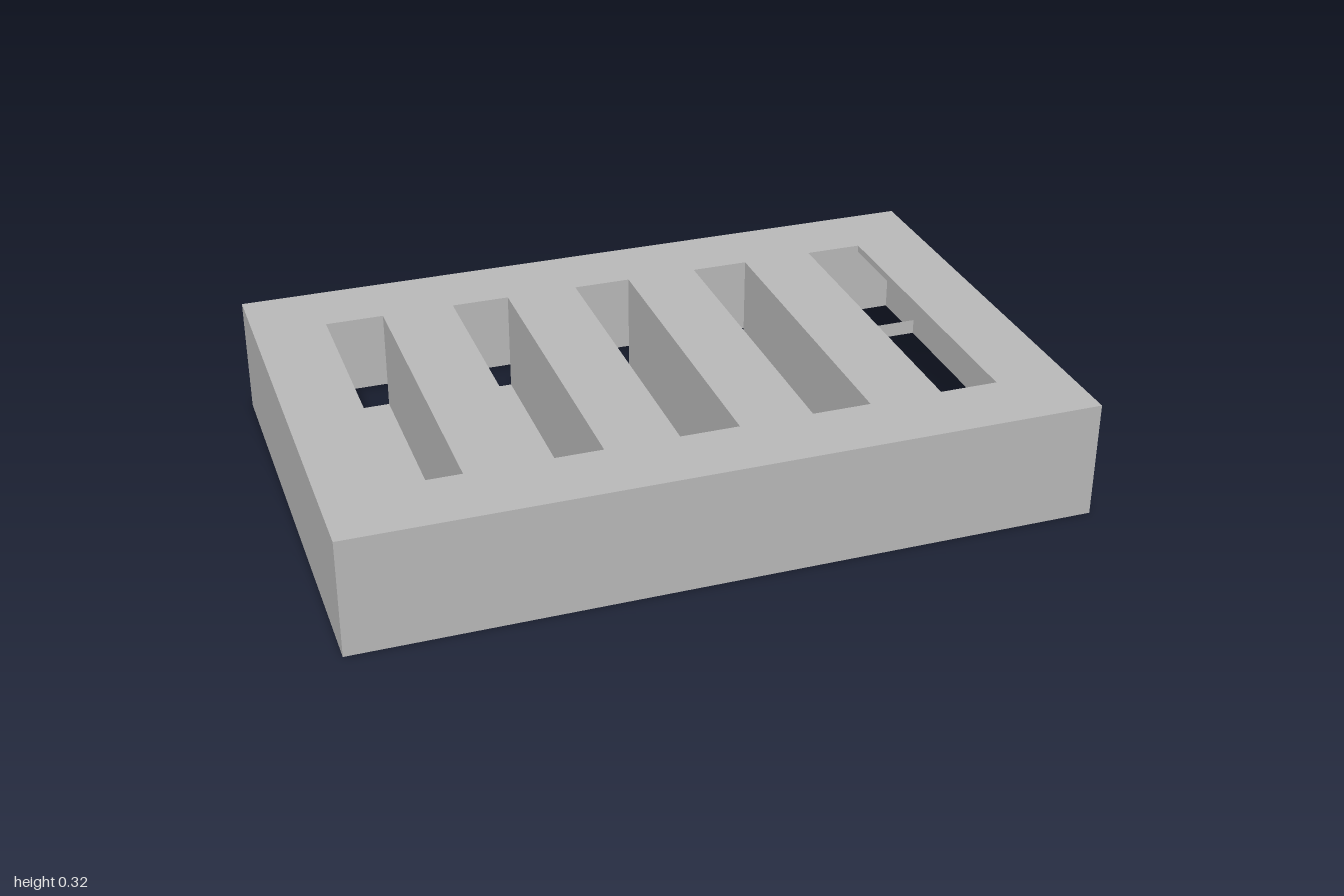
import * as THREE from 'three';

export function createModel() {
  const model = new THREE.Group();
  model.name = 'slottedTray';
  const grey = new THREE.MeshStandardMaterial({ color: 0xb8b8b8, side: THREE.DoubleSide });
  grey.name = 'plain grey';

  const W = 2, D = 1.3, H = 0.325, topT = 0.02, baseT = 0.044;
  const slotW = 0.16, slotD = 0.9, pitch = 0.36;

  const add = (name, geometry, x, y, z, rotY = 0) => {
    const mesh = new THREE.Mesh(geometry, grey);
    mesh.name = name;
    mesh.position.set(x, y, z);
    mesh.rotation.y = rotY;
    model.add(mesh);
    return mesh;
  };
  const rect = (target, cx, w, d) => {
    target.moveTo(cx - w / 2, -d / 2);
    target.lineTo(cx + w / 2, -d / 2);
    target.lineTo(cx + w / 2, d / 2);
    target.lineTo(cx - w / 2, d / 2);
    target.closePath();
    return target;
  };

  // thin top with five slots
  const outline = rect(new THREE.Shape(), 0, W, D);
  for (let i = -2; i <= 2; i++) outline.holes.push(rect(new THREE.Path(), i * pitch, slotW, slotD));
  const topGeo = new THREE.ExtrudeGeometry(outline, { depth: topT, bevelEnabled: false });
  topGeo.rotateX(-Math.PI / 2);
  add('slottedTop', topGeo, 0, H - topT, 0);

  // outer skirt of thin walls, open underneath
  const wallH = H - topT;
  for (const s of [1, -1]) {
    add(s > 0 ? 'frontWall' : 'backWall', new THREE.PlaneGeometry(W, wallH),
      0, wallH / 2, s * D / 2, s > 0 ? 0 : Math.PI);
    add(s > 0 ? 'leftWall' : 'rightWall', new THREE.PlaneGeometry(D, wallH),
      s * W / 2, wallH / 2, 0, s * Math.PI / 2);
  }

  // solid ribs between the slots
  const ribH = H - topT - baseT;
  for (const x of [-1.5, -0.5, 0.5, 1.5]) {
    add('rib', new THREE.BoxGeometry(pitch - slotW, ribH, slotD), x * pitch, baseT + ribH / 2, 0);
  }

  // base panel and the thin strips joining it to the side walls
  const baseW = 4 * pitch + slotW;
  add('basePanel', new THREE.BoxGeometry(baseW, baseT, slotD), 0, baseT / 2, 0);
  const stripW = (W - baseW) / 2;
  for (const sx of [1, -1]) for (const sz of [1, -1]) {
    add('baseStrip', new THREE.PlaneGeometry(stripW, baseT),
      sx * (baseW + stripW) / 2, baseT / 2, sz * slotD / 2, sz > 0 ? 0 : Math.PI);
  }
  return model;
}
